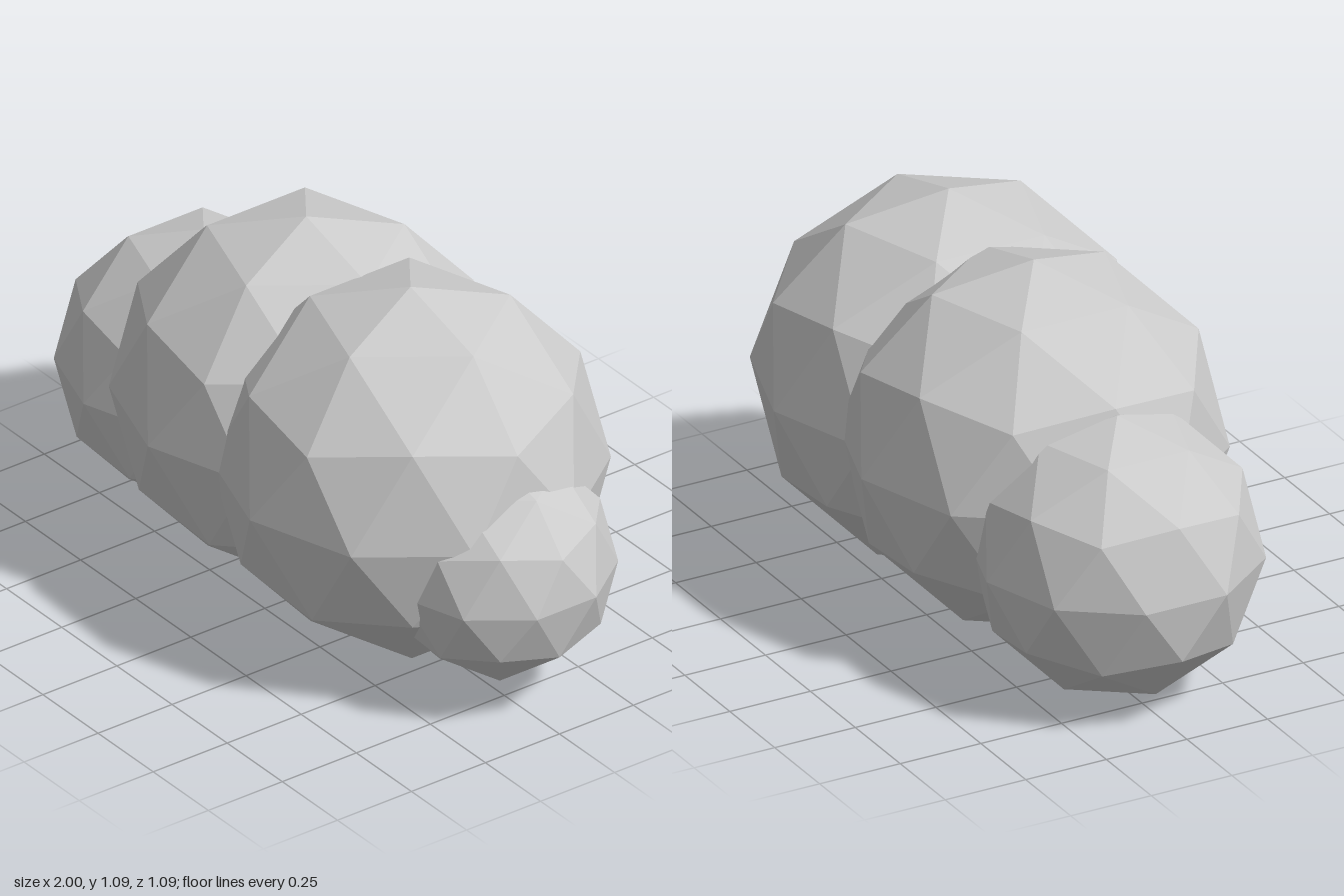
import * as THREE from 'three';

export function createModel() {
  const group = new THREE.Group();
  group.name = 'cloud';
  const material = new THREE.MeshStandardMaterial({ color: 0xcccccc, flatShading: true });

  // Faceted unit ball, turned so one five-fold corner points straight up
  const ball = new THREE.IcosahedronGeometry(1, 1);
  ball.rotateZ(-Math.atan(2 / (1 + Math.sqrt(5))));

  // Overlapping puffs: name, radius, centre
  const puffs = [
    ['rightEndPuff', 0.406, -0.613, 0.41, 0],
    ['rightMiddlePuff', 0.535, -0.148, 0.55, 0],
    ['leftMiddlePuff', 0.543, 0.325, 0.55, 0],
    ['leftEndPuff', 0.323, 0.69, 0.39, -0.027],
  ];
  for (const [name, radius, x, y, z] of puffs) {
    const puff = new THREE.Mesh(ball, material);
    puff.name = name;
    puff.scale.setScalar(radius);
    puff.position.set(x, y, z);
    group.add(puff);
  }
  return group;
}
